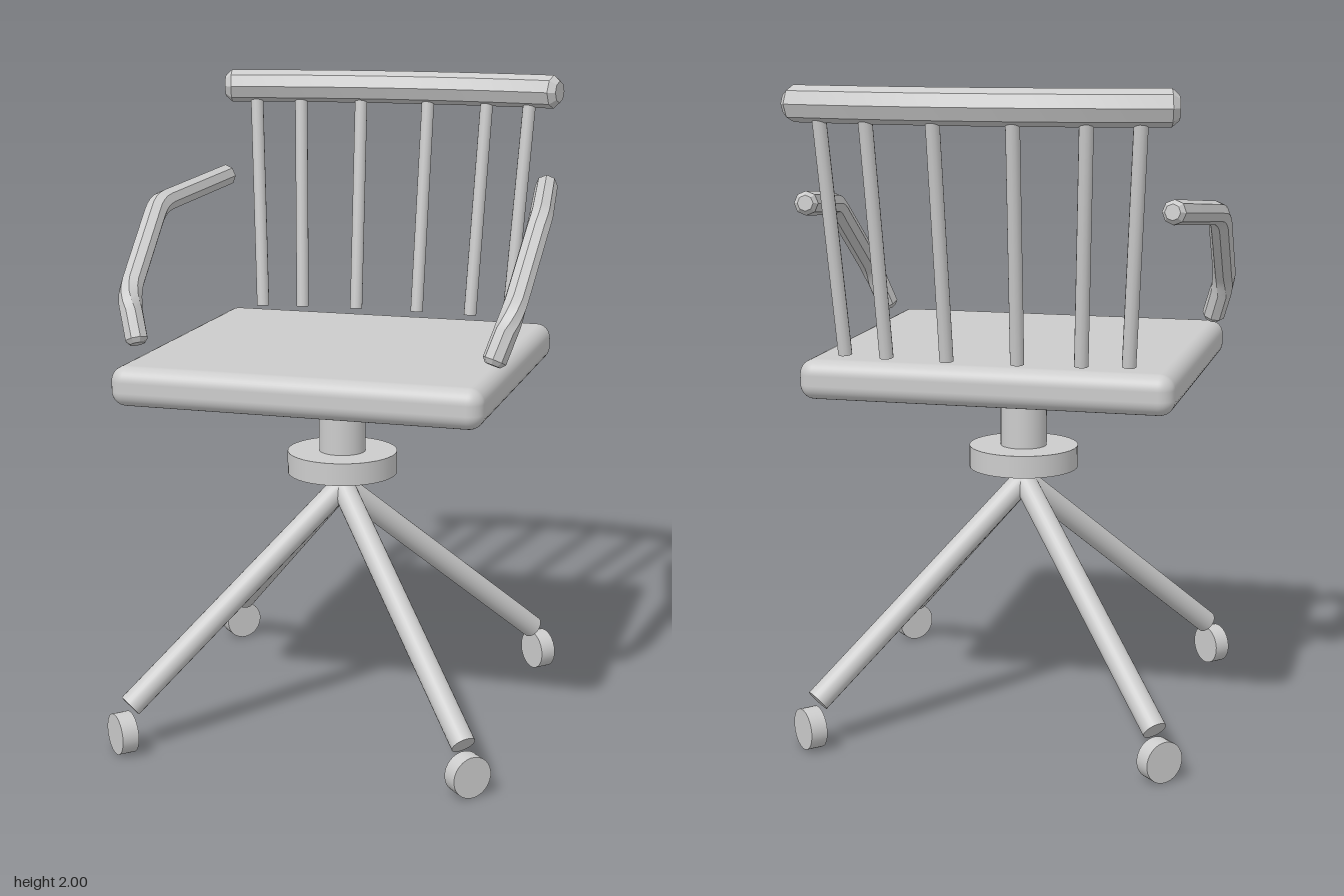
import * as THREE from 'three';
import { toCreasedNormals } from 'three/addons/utils/BufferGeometryUtils.js';
import { RoundedBoxGeometry } from 'three/addons/geometries/RoundedBoxGeometry.js';

const V = (x, y, z) => new THREE.Vector3(x, y, z);
const UP = V(0, 1, 0);
const SEAT_Z = 0.035;

// Octagonal bar swept along a path, with bevelled and closed ends
function barGeometry(path, radius) {
  const sides = 8, bevel = radius * 0.4;
  const rings = path.map((p, i) => {
    const t = path[Math.min(i + 1, path.length - 1)].clone().sub(path[Math.max(i - 1, 0)]).normalize();
    return { p, t, r: radius };
  });
  const first = rings[0], last = rings[rings.length - 1];
  const tip = (ring, offset) => ({ p: ring.p.clone().addScaledVector(ring.t, offset), t: ring.t, r: radius * 0.65 });
  rings.unshift(tip(first, -bevel));
  rings.push(tip(last, bevel));

  const pos = [], idx = [];
  for (const { p, t, r } of rings) {
    const side = UP.clone().cross(t).normalize();
    const rise = t.clone().cross(side);
    for (let k = 0; k < sides; k++) {
      const a = k / sides * Math.PI * 2;
      const q = p.clone().addScaledVector(side, Math.cos(a) * r).addScaledVector(rise, Math.sin(a) * r);
      pos.push(q.x, q.y, q.z);
    }
  }
  const n = rings.length;
  for (let i = 0; i < n - 1; i++) {
    for (let k = 0; k < sides; k++) {
      const a = i * sides + k, b = i * sides + (k + 1) % sides;
      idx.push(a, b, b + sides, a, b + sides, a + sides);
    }
  }
  const end = (n - 1) * sides;
  for (let k = 1; k < sides - 1; k++) {
    idx.push(0, k + 1, k, end, end + k, end + k + 1);
  }
  const geo = new THREE.BufferGeometry();
  geo.setAttribute('position', new THREE.Float32BufferAttribute(pos, 3));
  geo.setIndex(idx);
  return toCreasedNormals(geo, 0.5);
}

// Straight segments joined by short rounded bends
function roundedPath(points, bend) {
  const out = [points[0]];
  for (let i = 1; i < points.length - 1; i++) {
    const p = points[i];
    const a = p.clone().add(points[i - 1].clone().sub(p).setLength(bend));
    const b = p.clone().add(points[i + 1].clone().sub(p).setLength(bend));
    out.push(...new THREE.QuadraticBezierCurve3(a, p, b).getPoints(4));
  }
  out.push(points[points.length - 1]);
  return out;
}

export function createModel() {
  const model = new THREE.Group();
  model.name = 'swivelChair';
  const grey = new THREE.MeshStandardMaterial({ color: 0xcccccc });
  grey.name = 'lightGrey';

  const add = (name, geo, x = 0, y = 0, z = 0) => {
    const mesh = new THREE.Mesh(geo, grey);
    mesh.name = name;
    mesh.position.set(x, y, z);
    model.add(mesh);
    return mesh;
  };
  const rod = (name, from, to, r, sides) => {
    const dir = to.clone().sub(from);
    const mesh = add(name, new THREE.CylinderGeometry(r, r, dir.length(), sides));
    mesh.position.copy(from).add(to).multiplyScalar(0.5);
    mesh.quaternion.setFromUnitVectors(UP, dir.normalize());
    return mesh;
  };

  // Seat, column and hub
  add('seat', new RoundedBoxGeometry(1.12, 0.12, 1.07, 5, 0.045), 0, 1.14, SEAT_Z);
  add('column', new THREE.CylinderGeometry(0.073, 0.073, 0.26, 32), 0, 0.97, SEAT_Z);
  add('hub', new THREE.CylinderGeometry(0.172, 0.172, 0.07, 40), 0, 0.825, SEAT_Z);

  // Four diagonal legs, each with a wheel facing outward
  for (const sx of [-1, 1]) {
    for (const sz of [-1, 1]) {
      rod('leg', V(0, 0.745, SEAT_Z), V(sx * 0.52, 0.145, SEAT_Z + sz * 0.52), 0.037, 24);
      const c = V(sx * 0.538, 0.063, SEAT_Z + sz * 0.538);
      const half = V(sx, 0, sz).setLength(0.026);
      rod('wheel', c.clone().sub(half), c.clone().add(half), 0.063, 28);
    }
  }

  // Curved top rail
  const railZ = x => -0.577 + 0.075 * (x / 0.55) ** 2;
  const rail = [];
  for (let i = 0; i <= 16; i++) {
    const x = -0.545 + 1.09 * i / 16;
    rail.push(V(x, 1.947, railZ(x)));
  }
  add('topRail', barGeometry(rail, 0.053));

  // Back spindles: [bottom x, bottom z, top x]
  for (const [bx, bz, tx] of [[0.105, -0.48, 0.115], [0.29, -0.468, 0.318], [0.424, -0.446, 0.465]]) {
    for (const s of [-1, 1]) {
      rod('spindle', V(s * bx, 1.215, bz), V(s * tx, 1.93, railZ(tx)), 0.021, 12);
    }
  }

  // Bent armrests
  for (const s of [-1, 1]) {
    const pts = [V(s * 0.55, 1.245, 0.362), V(s * 0.59, 1.37, 0.32), V(s * 0.61, 1.61, 0.02), V(s * 0.543, 1.655, -0.425)];
    add(s > 0 ? 'leftArm' : 'rightArm', barGeometry(roundedPath(pts, 0.05), 0.036));
  }
  return model;
}
